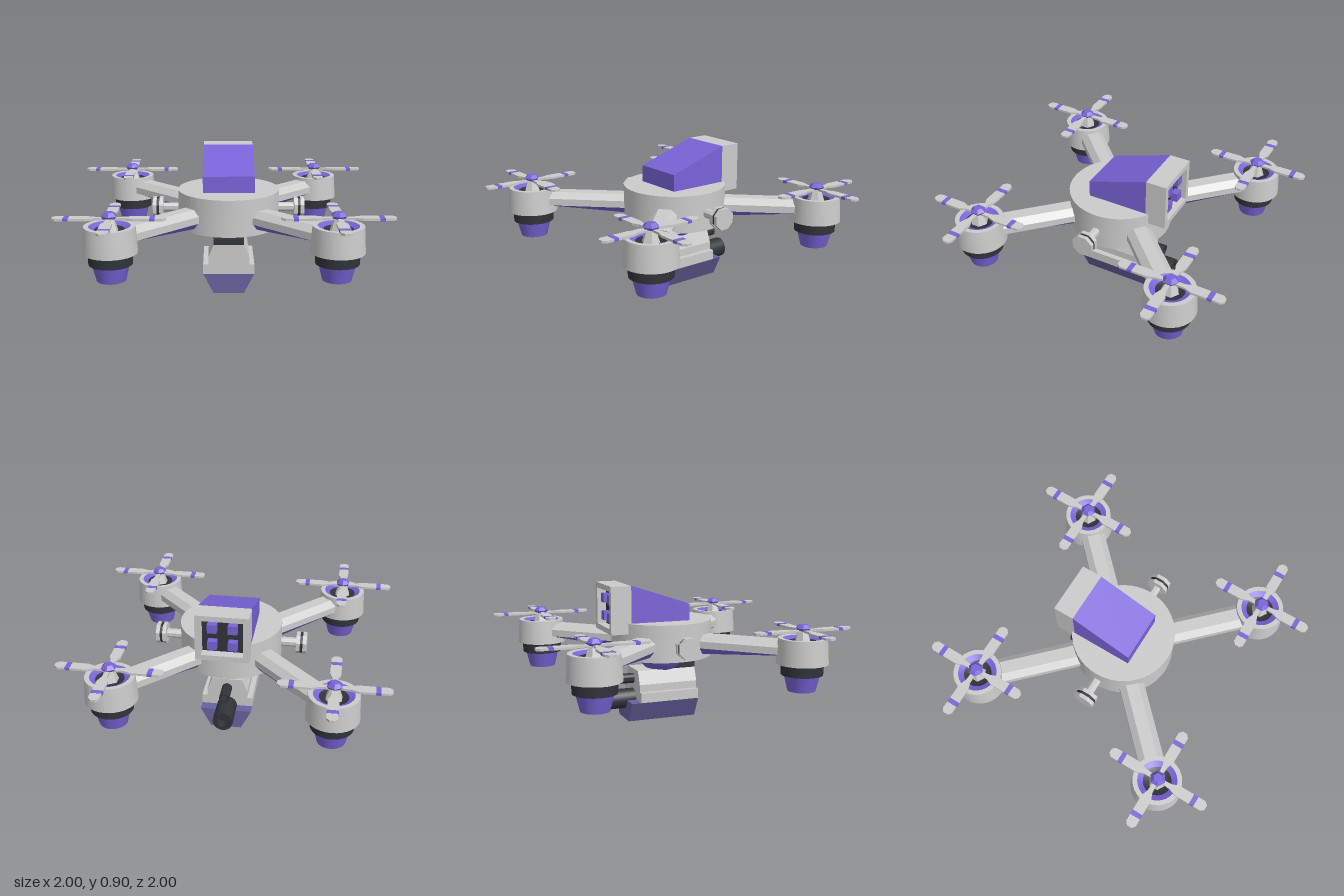
import * as THREE from 'three';
import { toCreasedNormals } from 'three/addons/utils/BufferGeometryUtils.js';

const mat = (color, opts = {}) => new THREE.MeshStandardMaterial({ color, ...opts });
const GREY = mat(0xcccccc, { side: THREE.DoubleSide });
const PURPLE = mat(0x7a63d8, { side: THREE.DoubleSide });
const DARK = mat(0x30343a, { side: THREE.DoubleSide });
const SLATE = mat(0x67639f, { side: THREE.DoubleSide });
const CX = 0.033; // centre line of the body

function add(parent, name, geo, material, x = 0, y = 0, z = 0) {
  const m = new THREE.Mesh(geo, material);
  m.name = name;
  m.position.set(x, y, z);
  parent.add(m);
  return m;
}

// upright cylinder between two heights
function column(parent, name, rTop, rBot, y0, y1, material, sides = 32) {
  const geo = toCreasedNormals(new THREE.CylinderGeometry(rTop, rBot, y1 - y0, sides), 0.6);
  return add(parent, name, geo, material, 0, (y0 + y1) / 2, 0);
}

const lathe = (pts, sides = 32) =>
  toCreasedNormals(new THREE.LatheGeometry(pts.map(p => new THREE.Vector2(...p)), sides), 0.6);

// outline extruded along z from z0 to z1
function prism(pts, z0, z1) {
  const shape = new THREE.Shape(pts.map(p => new THREE.Vector2(...p)));
  return new THREE.ExtrudeGeometry(shape, { depth: z1 - z0, bevelEnabled: false }).translate(0, 0, z0);
}

// one propeller blade lying along +x, with a colour band near its tip
function makeBlade() {
  const g = new THREE.Group();
  g.name = 'blade';
  const half = [[0.02, 0.012], [0.09, 0.016], [0.135, 0.033], [0.312, 0.033], [0.333, 0.015]];
  const outline = [...half.map(([x, w]) => [x, -w]), ...half.slice().reverse()];
  add(g, 'bladePanel', prism(outline, 0, 0.014).rotateX(-Math.PI / 2), GREY, 0, 0.636, 0);
  add(g, 'bladeBand', new THREE.BoxGeometry(0.03, 0.017, 0.0675), PURPLE, 0.25, 0.643, 0);
  return g;
}

function makeRotor() {
  const g = new THREE.Group();
  g.name = 'rotor';
  // housing with a recessed, ringed top
  add(g, 'housing', lathe([[0, 0.44], [0.163, 0.44], [0.152, 0.6], [0.123, 0.6], [0.123, 0.59]]), GREY);
  add(g, 'intakeRing', lathe([[0.123, 0.596], [0.088, 0.58]]), PURPLE);
  add(g, 'intakeFloor', lathe([[0.088, 0.58], [0.065, 0.57], [0, 0.57]]), DARK);
  column(g, 'collar', 0.134, 0.131, 0.37, 0.44, DARK);
  column(g, 'foot', 0.113, 0.087, 0.267, 0.37, PURPLE, 20);
  // hub and four blades
  column(g, 'shaft', 0.026, 0.055, 0.57, 0.655, GREY, 6);
  column(g, 'hubSkirt', 0.05, 0.04, 0.645, 0.66, PURPLE, 6);
  column(g, 'hubCap', 0.028, 0.05, 0.66, 0.682, PURPLE, 6);
  for (let i = 0; i < 4; i++) {
    const b = makeBlade();
    b.rotation.y = i * Math.PI / 2;
    g.add(b);
  }
  return g;
}

// arm running outward along +z: chamfered beam over a tapering keel
function makeArm() {
  const g = new THREE.Group();
  g.name = 'arm';
  const section = [[-0.08, 0.495], [0.08, 0.495], [0.08, 0.54], [0.04, 0.578], [-0.04, 0.578], [-0.08, 0.54]];
  add(g, 'armBeam', prism(section, 0.2, 0.84), GREY);
  const keel = new THREE.BoxGeometry(0.158, 1, 0.64);
  const p = keel.attributes.position;
  for (let i = 0; i < p.count; i++) {
    const out = p.getZ(i) > 0;
    if (p.getY(i) > 0) p.setY(i, 0.496);
    else {
      p.setY(i, out ? 0.485 : 0.448);
      p.setX(i, p.getX(i) * 0.55);
    }
  }
  keel.computeVertexNormals();
  add(g, 'armKeel', keel, PURPLE, 0, 0, 0.52);
  return g;
}

// hull with sensor dome below
function makeHull() {
  const g = new THREE.Group();
  g.name = 'hull';
  g.position.x = CX;
  column(g, 'hullDrum', 0.331, 0.331, 0.42, 0.66, GREY, 48);
  add(g, 'turretDome', new THREE.SphereGeometry(0.165, 32, 12, 0, Math.PI * 2, Math.PI / 2, Math.PI / 2),
    PURPLE, 0, 0.457, 0);
  // side knobs on short axles
  for (const s of [-1, 1]) {
    const knob = new THREE.Group();
    knob.name = 'sideKnob';
    const disc = (name, r, x0, x1, m) => add(knob, name,
      toCreasedNormals(new THREE.CylinderGeometry(r, r, x1 - x0, 8).rotateY(Math.PI / 8), 0.3)
        .rotateZ(Math.PI / 2), m, s * (x0 + x1) / 2, 0.533, 0);
    disc('axle', 0.03, 0.28, 0.44, GREY);
    disc('knobInner', 0.072, 0.43, 0.455, GREY);
    disc('knobBand', 0.068, 0.455, 0.472, DARK);
    disc('knobOuter', 0.072, 0.472, 0.497, GREY);
    g.add(knob);
  }
  return g;
}

// wedge-fronted pod on top with an open rear frame
function makePod() {
  const g = new THREE.Group();
  g.name = 'topPod';
  g.position.x = CX;
  const wedge = prism([[-0.135, 0.65], [-0.135, 0.768], [0.265, 0.9], [0.265, 0.65]], -0.167, 0.167);
  add(g, 'podWedge', wedge.rotateY(Math.PI / 2), PURPLE);
  const frame = new THREE.Shape();
  const rect = (path, w, y0, y1) => path.moveTo(-w, y0).lineTo(w, y0).lineTo(w, y1).lineTo(-w, y1).closePath();
  rect(frame, 0.167, 0.592, 0.9);
  const hole = new THREE.Path();
  rect(hole, 0.132, 0.627, 0.865);
  frame.holes.push(hole);
  add(g, 'podFrame', new THREE.ExtrudeGeometry(frame, { depth: 0.135, bevelEnabled: false }), GREY, 0, 0, -0.4);
  add(g, 'podBack', new THREE.BoxGeometry(0.33, 0.3, 0.02), GREY, 0, 0.745, -0.276);
  add(g, 'podRecess', new THREE.BoxGeometry(0.264, 0.238, 0.05), DARK, 0, 0.746, -0.315);
  // four launch cells
  for (const sx of [-1, 1]) for (const sy of [-1, 1])
    add(g, 'launchCell', new THREE.BoxGeometry(0.058, 0.058, 0.05), PURPLE, sx * 0.064, 0.746 + sy * 0.058, -0.36);
  return g;
}

// slung turret with two barrels pointing backward
function makeTurret() {
  const g = new THREE.Group();
  g.name = 'turret';
  g.position.x = CX;
  const upper = [[-0.167, 0.133], [0.167, 0.133], [0.167, 0.197], [0.133, 0.197], [0.133, 0.246],
    [0.098, 0.332], [-0.098, 0.332], [-0.133, 0.246], [-0.133, 0.197], [-0.167, 0.197]];
  add(g, 'turretBody', prism(upper, -0.2, 0.2), GREY);
  add(g, 'turretTray', prism([[-0.1, 0], [0.1, 0], [0.167, 0.133], [-0.167, 0.133]], -0.265, 0.2), SLATE);
  add(g, 'traySlot', new THREE.BoxGeometry(0.08, 0.01, 0.27), DARK, 0, 0.004, -0.035);
  add(g, 'turretMount', new THREE.BoxGeometry(0.196, 0.036, 0.2), DARK, 0, 0.35, 0.1);
  const barrel = (name, r, y, len) => {
    const geo = lathe([[0, 0], [r, 0], [r, len], [r * 0.6, len], [r * 0.6, len - 0.06], [0, len - 0.06]], 24);
    add(g, name, geo.rotateX(-Math.PI / 2), DARK, 0, y, -0.18);
  };
  barrel('mainBarrel', 0.065, 0.133, 0.22);
  barrel('upperBarrel', 0.033, 0.267, 0.15);
  return g;
}

export function createModel() {
  const model = new THREE.Group();
  model.name = 'quadDrone';
  model.add(makeHull(), makePod(), makeTurret());
  // four diagonal arms, each carrying a rotor
  for (const sx of [-1, 1]) for (const sz of [-1, 1]) {
    const arm = makeArm();
    arm.rotation.y = Math.atan2(sx, sz);
    const rotor = makeRotor();
    rotor.position.set(sx * 0.667, 0, sz * 0.667);
    model.add(arm, rotor);
  }
  return model;
}
